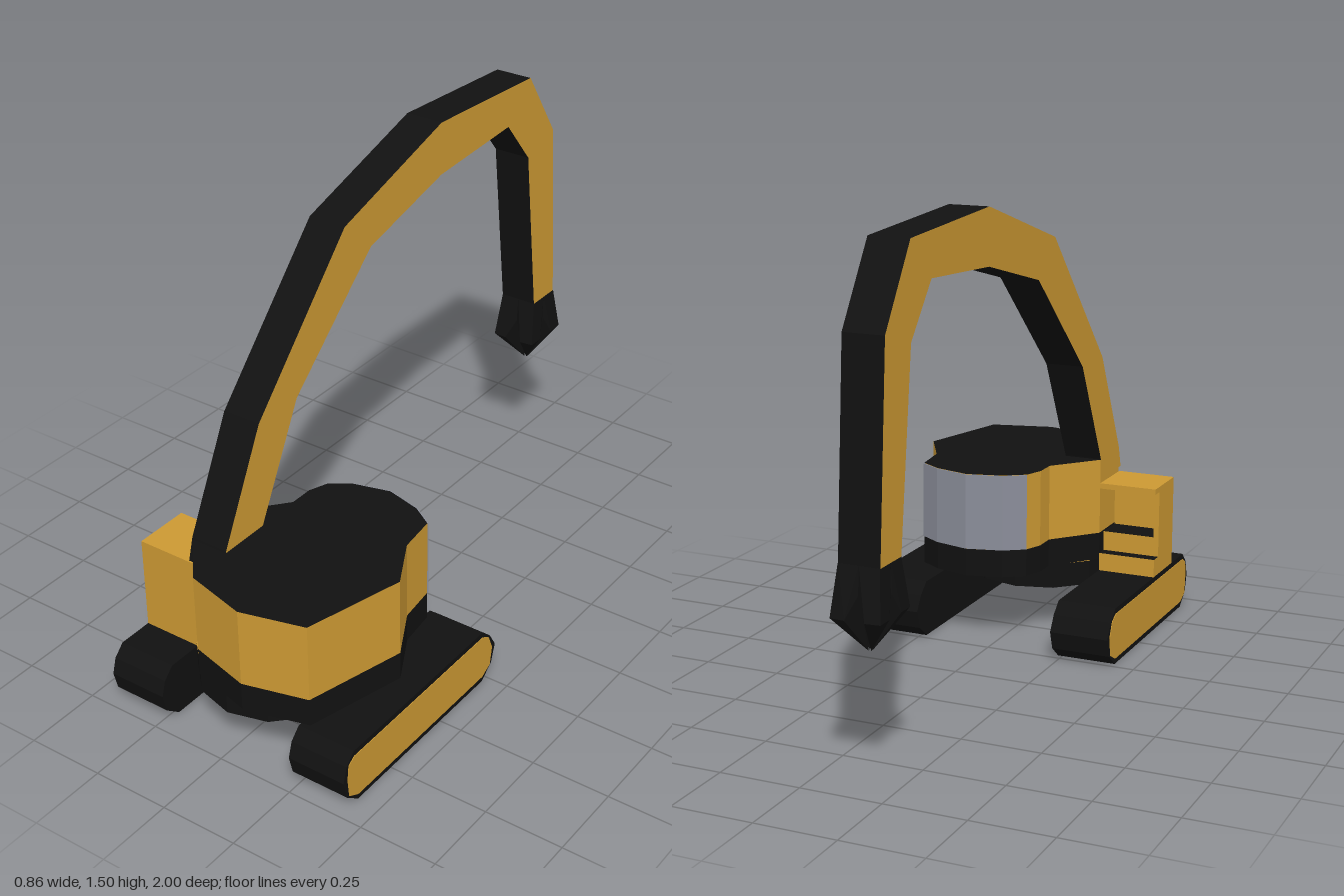
import * as THREE from 'three';
import { ConvexGeometry } from 'three/addons/geometries/ConvexGeometry.js';

const paint = (color) => new THREE.MeshStandardMaterial({ color, flatShading: true });

export function createModel() {
  const model = new THREE.Group();
  const tan = paint(0xcc9933), black = paint(0x111111), grey = paint(0x8a8d99);

  const add = (name, geometry, material, parent = model) => {
    const mesh = new THREE.Mesh(geometry, material);
    mesh.name = name;
    parent.add(mesh);
    return mesh;
  };
  const extrude = (points, depth) => new THREE.ExtrudeGeometry(
    new THREE.Shape(points.map(([x, y]) => new THREE.Vector2(x, y))),
    { depth, bevelEnabled: false });
  // Side profile [z, y] extruded from x0 to x1
  const prismX = (profile, x0, x1) =>
    extrude(profile.map(([z, y]) => [-z, y]), x1 - x0).rotateY(Math.PI / 2).translate(x0, 0, 0);
  // Plan outline [x, z] extruded from y0 to y1
  const prismY = (plan, y0, y1) =>
    extrude(plan.map(([x, z]) => [x, -z]), y1 - y0).rotateX(-Math.PI / 2).translate(0, y0, 0);
  const box = (name, x0, x1, y0, y1, z0, z1, material, parent) =>
    add(name, new THREE.BoxGeometry(x1 - x0, y1 - y0, z1 - z0)
      .translate((x0 + x1) / 2, (y0 + y1) / 2, (z0 + z1) / 2), material, parent);

  // Crawler tracks with a painted panel on the outer side
  const track = (inset) => [
    [0.275, inset], [0.225 + inset * 0.5, 0.04], [0.205 + inset, 0.1], [0.235 + inset * 0.5, 0.15],
    [0.275, 0.185 - inset], [0.925, 0.185 - inset], [0.96 - inset * 0.5, 0.15],
    [0.975 - inset, 0.1], [0.96 - inset * 0.5, 0.04], [0.91, inset]];
  for (const [name, side] of [['left', 1], ['right', -1]]) {
    const [x0, x1] = side > 0 ? [0.233, 0.425] : [-0.428, -0.235];
    add(name + 'Track', prismX(track(0), x0, x1), black);
    const outer = side > 0 ? x1 : x0 - 0.002;
    add(name + 'TrackPanel', prismX(track(0.018), outer, outer + 0.002), tan);
  }

  // Turntable between the tracks
  const ring = [];
  for (let i = 0; i < 12; i++) {
    const a = (i / 12) * Math.PI * 2;
    ring.push([0.245 * Math.sin(a), 0.715 + 0.245 * Math.cos(a)]);
  }
  add('turntable', prismY(ring, 0.145, 0.225), [tan, black]);

  // Upper body on a dark skirt
  const outline = [
    [-0.235, 0.8], [-0.11, 0.945], [0.09, 0.997], [0.29, 0.945], [0.375, 0.63],
    [0.29, 0.475], [0.275, 0.35], [0.205, 0.305], [0.09, 0.275], [-0.025, 0.305],
    [-0.09, 0.35], [-0.113, 0.41], [-0.113, 0.485], [-0.235, 0.63]];
  add('bodySkirt', prismY(outline, 0.225, 0.315), [tan, black]);
  add('body', prismY(outline, 0.315, 0.565), [black, tan]);

  // Curved rear window wrapped around the body
  const pane = outline.slice(6, 11);
  const outside = pane.map(([x, z]) => [0.09 + (x - 0.09) * 1.01, z - 0.003]);
  add('rearWindow', prismY([...outside, ...pane.slice().reverse()], 0.316, 0.564), grey);

  // Operator's cab, open to the rear, standing on the right track
  const cab = new THREE.Group();
  cab.name = 'cab';
  model.add(cab);
  const stepPaint = [tan, tan, black, tan, tan, tan];
  box('cabRoof', -0.428, -0.235, 0.467, 0.485, 0.63, 0.81, tan, cab);
  box('cabFront', -0.428, -0.235, 0.185, 0.467, 0.77, 0.81, tan, cab);
  box('cabSide', -0.428, -0.41, 0.185, 0.467, 0.67, 0.77, tan, cab);
  box('cabSeat', -0.41, -0.235, 0.185, 0.31, 0.67, 0.77, stepPaint, cab);
  box('cabStep', -0.428, -0.235, 0.185, 0.245, 0.63, 0.67, stepPaint, cab);

  // Arched boom and hanging arm
  const boom = [
    [0.82, 0.5], [0.8, 0.57], [0.63, 0.91], [0.21, 1.357], [-0.28, 1.505], [-0.78, 1.48],
    [-0.93, 1.25], [-0.967, 0.64], [-0.845, 0.64], [-0.78, 1.205], [-0.655, 1.357],
    [-0.28, 1.335], [0.085, 1.243], [0.455, 0.91], [0.63, 0.57], [0.66, 0.5]];
  add('boom', prismX(boom, -0.235, -0.11), [tan, black]);

  // Four-pronged grab: each prong flares out and closes to a point
  const grab = new THREE.Group();
  grab.name = 'grab';
  grab.position.set(-0.1725, 0, -0.907);
  model.add(grab);
  for (const sx of [-1, 1]) for (const sz of [-1, 1]) {
    const points = [
      [0, 0.64, 0], [0.0625, 0.64, 0], [0, 0.64, 0.062], [0.0625, 0.64, 0.062],
      [0, 0.555, 0], [0.0625, 0.555, 0.004], [0, 0.56, 0.068],
      [0.075, 0.495, 0.035], [0.075, 0.495, 0.088], [0.03, 0.495, 0.092],
      [0.02, 0.495, 0.032], [0.004, 0.388, 0.004],
    ].map(([x, y, z]) => new THREE.Vector3(x * sx, y, z * sz));
    add('grabProng', new ConvexGeometry(points), black, grab);
  }
  return model;
}
